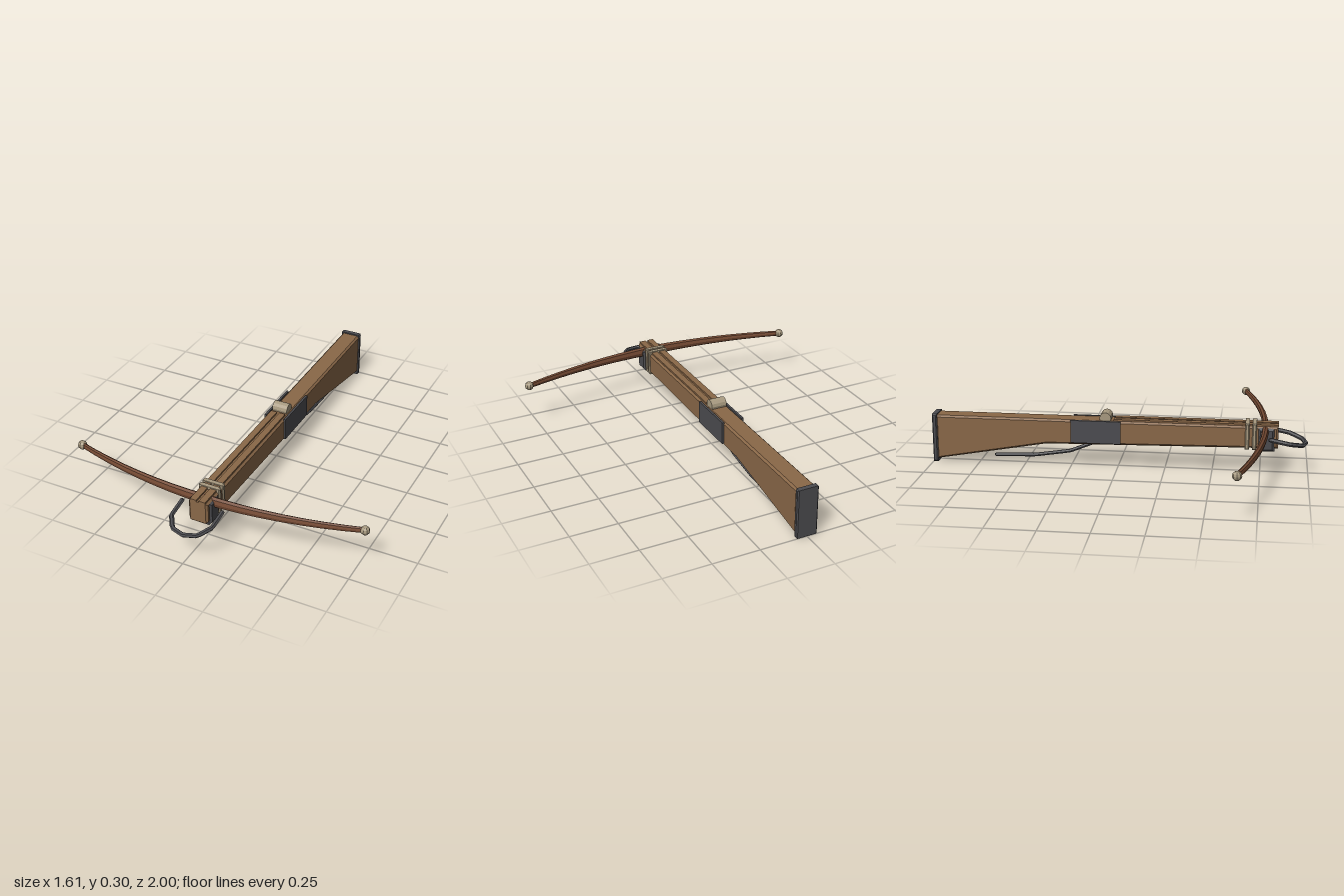
import * as THREE from 'three';

const mat = (color) => new THREE.MeshStandardMaterial({ color, flatShading: true });
const wood = mat(0x8a6848), bowWood = mat(0x754a33), iron = mat(0x4c4c50), horn = mat(0xa89a80);

export function createModel() {
  const model = new THREE.Group();
  const add = (name, geometry, material, x = 0, y = 0, z = 0) => {
    const mesh = new THREE.Mesh(geometry, material);
    mesh.name = name;
    mesh.position.set(x, y, z);
    model.add(mesh);
    return mesh;
  };

  // Side profile given as [z, y], extruded across x with chamfered edges
  const slab = (points, width, bevel) => {
    const shape = new THREE.Shape(points.map(([z, y]) => new THREE.Vector2(z, y)));
    const geometry = new THREE.ExtrudeGeometry(shape, {
      depth: width - 2 * bevel, bevelEnabled: true, bevelSegments: 1,
      bevelSize: bevel, bevelThickness: bevel, bevelOffset: -bevel,
    });
    geometry.translate(0, 0, -(width - 2 * bevel) / 2);
    return geometry.rotateY(-Math.PI / 2);
  };
  const block = (z0, z1, y0, y1, width, bevel) =>
    slab([[z0, y0], [z1, y0], [z1, y1], [z0, y1]], width, bevel);

  // Bar following straight segments between points
  const bar = (points, radius, sides) => {
    const path = new THREE.CurvePath();
    for (let i = 1; i < points.length; i++) {
      path.add(new THREE.LineCurve3(new THREE.Vector3(...points[i - 1]), new THREE.Vector3(...points[i])));
    }
    return new THREE.TubeGeometry(path, 24, radius, sides);
  };
  const capEnd = (name, point, radius) =>
    add(name, new THREE.IcosahedronGeometry(radius, 0), iron, ...point);

  // Stock with drooping butt
  add('stock', slab([[-0.98, 0.015], [-0.38, 0.121], [0.84, 0.142], [0.84, 0.257], [-0.98, 0.257]], 0.104, 0.01), wood);
  add('buttPlate', block(-1, -0.974, 0, 0.264, 0.114, 0.006), iron);

  // Rails leaving a bolt groove between them
  for (const side of [-1, 1]) {
    add('boltRail', new THREE.BoxGeometry(0.034, 0.012, 0.86), wood, side * 0.024, 0.26, 0.41);
    add('lockPlate', new THREE.BoxGeometry(0.012, 0.122, 0.266), iron, side * 0.056, 0.197, -0.115);
  }

  // String nut
  add('nut', new THREE.CylinderGeometry(0.031, 0.031, 0.084, 12).rotateZ(Math.PI / 2), horn, 0, 0.27, -0.065);

  // Bow mount and lashings
  add('bowMount', block(0.735, 0.822, 0.125, 0.25, 0.122, 0.012), iron);
  for (const z of [0.68, 0.717]) {
    add('lashing', block(z - 0.011, z + 0.011, 0.132, 0.272, 0.116, 0.005), horn);
  }

  // Bow limbs: a straight eight-sided bar, tapered and swept back toward the tips
  const bow = new THREE.CylinderGeometry(1, 1, 1.56, 8, 16).rotateZ(Math.PI / 2);
  const p = bow.attributes.position;
  for (let i = 0; i < p.count; i++) {
    const t = Math.abs(p.getX(i)) / 0.78;
    p.setY(i, 0.231 + p.getY(i) * (0.029 - 0.013 * t));
    p.setZ(i, 0.773 - 0.122 * t * t + p.getZ(i) * (0.019 - 0.008 * t));
  }
  bow.computeVertexNormals();
  add('bow', bow, bowWood);
  for (const side of [-1, 1]) {
    add('bowTip', new THREE.SphereGeometry(0.024, 8, 6), horn, side * 0.782, 0.231, 0.651);
  }

  // Foot stirrup
  const half = [[0.11, 0.205, 0.8], [0.11, 0.185, 0.9], [0.067, 0.168, 0.966]];
  const stirrup = [...half, [0, 0.163, 0.984], ...half.map(([x, y, z]) => [-x, y, z]).reverse()];
  add('stirrup', bar(stirrup, 0.012, 6), iron);
  for (const i of [0, stirrup.length - 1]) capEnd('stirrupEnd', stirrup[i], 0.012);

  // Long trigger lever
  const lever = [[0, 0.125, -0.13], [0, 0.072, -0.26], [0, 0.042, -0.45], [0, 0.035, -0.665]];
  add('trigger', bar(lever, 0.01, 6), iron);
  capEnd('triggerEnd', lever[3], 0.01);

  return model;
}
